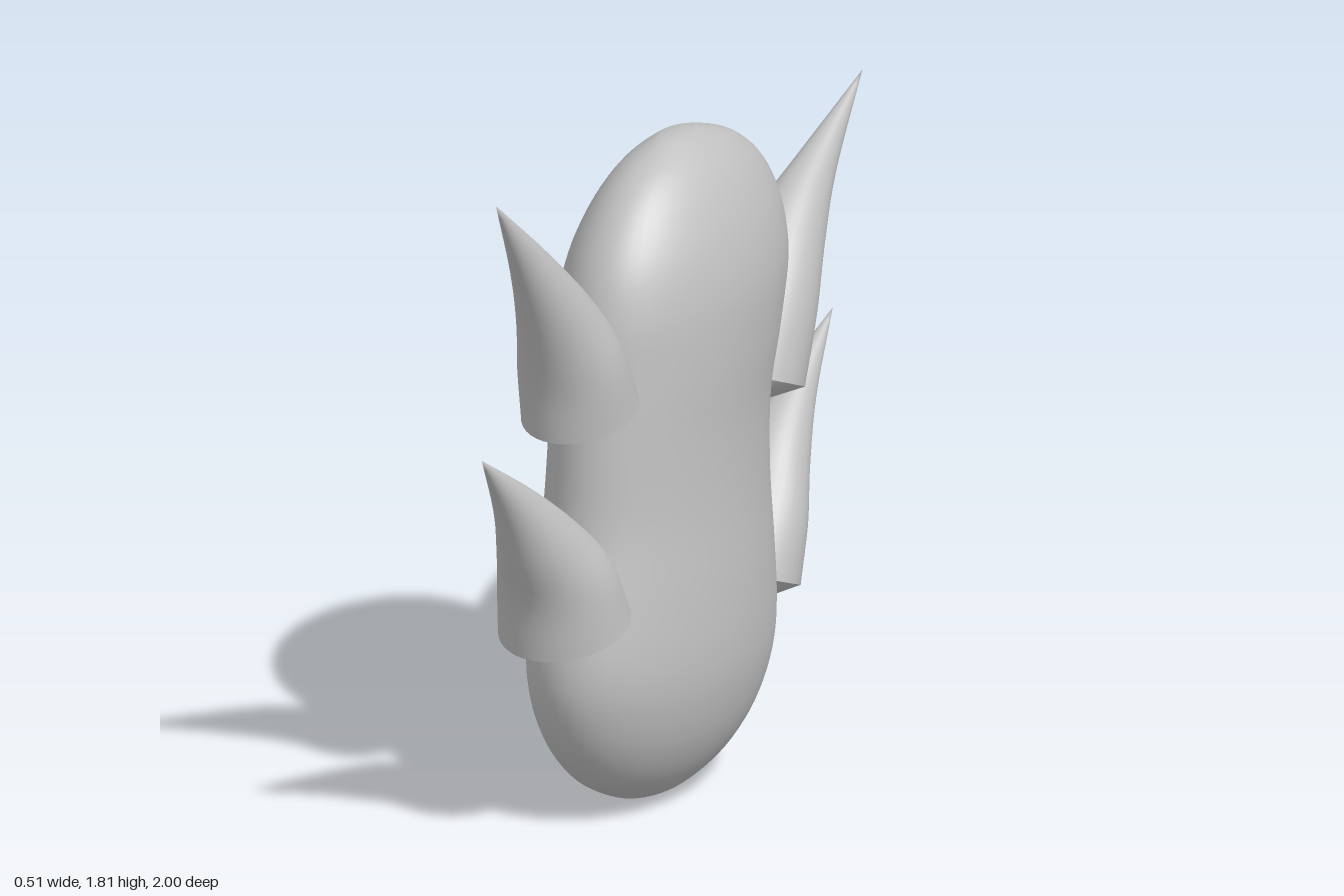
import * as THREE from 'three';
import { mergeVertices } from 'three/addons/utils/BufferGeometryUtils.js';

// Smooth skin over elliptical rings. Each ring is [outer z, outer y, inner z, inner y, half width].
function loft(rings, steps, sides = 40) {
  const outer = new THREE.CatmullRomCurve3(rings.map(r => new THREE.Vector3(r[4], r[1], r[0])), false, 'catmullrom');
  const inner = new THREE.CatmullRomCurve3(rings.map(r => new THREE.Vector3(0, r[3], r[2])), false, 'catmullrom');
  const n = (rings.length - 1) * steps;
  const flip = rings[1][0] < rings[1][2] ? -1 : 1;
  const position = [], index = [];
  for (let i = 0; i <= n; i++) {
    const a = outer.getPoint(i / n), b = inner.getPoint(i / n);
    for (let j = 0; j < sides; j++) {
      const t = (j / sides) * Math.PI * 2, c = Math.cos(t);
      position.push(
        flip * a.x * Math.sin(t),
        (a.y + b.y) / 2 + (a.y - b.y) / 2 * c,
        (a.z + b.z) / 2 + (a.z - b.z) / 2 * c
      );
      if (i < n) {
        const k = (j + 1) % sides, p = i * sides, q = p + sides;
        index.push(p + j, p + k, q + k, p + j, q + k, q + j);
      }
    }
  }
  const geometry = new THREE.BufferGeometry();
  geometry.setAttribute('position', new THREE.Float32BufferAttribute(position, 3));
  geometry.setIndex(index);
  const merged = mergeVertices(geometry, 1e-5);
  merged.computeVertexNormals();
  return merged;
}

// Body rings: [y, front z, back z, half width]
const BODY = [
  [0, 0.11, 0.11, 0], [0.005, 0.19, 0.03, 0.04], [0.03, 0.29, -0.07, 0.09],
  [0.1, 0.42, -0.19, 0.16], [0.2, 0.51, -0.285, 0.215], [0.32, 0.563, -0.342, 0.247],
  [0.44, 0.575, -0.355, 0.256], [0.6, 0.545, -0.345, 0.25], [0.8, 0.5, -0.332, 0.235],
  [1, 0.476, -0.342, 0.23], [1.18, 0.45, -0.39, 0.238], [1.34, 0.425, -0.43, 0.237],
  [1.47, 0.38, -0.42, 0.212], [1.58, 0.3, -0.365, 0.168], [1.66, 0.2, -0.265, 0.115],
  [1.71, 0.08, -0.13, 0.055], [1.722, 0.025, -0.06, 0.025], [1.725, -0.02, -0.02, 0]
];

// Horns: rings from base to tip, and the [z, y] centre of the base cap
const HORNS = {
  lowerFrontHorn: {
    cap: [0.45, 0.487],
    rings: [[0.73, 0.53, 0.4, 0.63, 0.17], [0.752, 0.67, 0.48, 0.775, 0.15],
      [0.803, 0.79, 0.6, 0.888, 0.108], [0.88, 0.95, 0.77, 1.01, 0.055], [1, 1.15, 1, 1.15, 0]]
  },
  upperFrontHorn: {
    cap: [0.36, 1.02],
    rings: [[0.635, 1.085, 0.33, 1.17, 0.15], [0.655, 1.22, 0.42, 1.34, 0.138],
      [0.705, 1.37, 0.53, 1.475, 0.1], [0.795, 1.565, 0.7, 1.63, 0.051], [0.925, 1.81, 0.925, 1.81, 0]]
  },
  lowerBackHorn: {
    cap: [-0.22, 0.362],
    rings: [[-0.49, 0.38, -0.18, 0.5, 0.165], [-0.52, 0.5, -0.345, 0.65, 0.145],
      [-0.583, 0.64, -0.46, 0.77, 0.105], [-0.69, 0.81, -0.61, 0.875, 0.054], [-0.84, 1, -0.84, 1, 0]]
  },
  upperBackHorn: {
    cap: [-0.22, 0.9],
    rings: [[-0.52, 0.9, -0.2, 1.03, 0.162], [-0.573, 1.03, -0.41, 1.25, 0.14],
      [-0.66, 1.18, -0.556, 1.366, 0.1], [-0.79, 1.365, -0.725, 1.46, 0.052], [-0.995, 1.59, -0.995, 1.59, 0]]
  }
};

export function createModel() {
  const model = new THREE.Group();
  const gray = new THREE.MeshStandardMaterial({ color: 0xc0c0c0 });
  gray.name = 'lightGray';
  const add = (parent, geometry, name) => {
    const mesh = new THREE.Mesh(geometry, gray);
    mesh.name = name;
    parent.add(mesh);
  };

  // Rounded, slightly waisted body
  add(model, loft(BODY.map(([y, front, back, w]) => [front, y, back, y, w]), 5, 56), 'body');

  // Curved horns, each closed by a shallow cone with a sharp rim
  for (const [name, { cap: [z, y], rings }] of Object.entries(HORNS)) {
    const horn = new THREE.Group();
    horn.name = name;
    add(horn, loft(rings, 6), 'hornSpike');
    add(horn, loft([[z, y, z, y, 0], rings[0]], 3), 'hornBase');
    model.add(horn);
  }
  return model;
}
